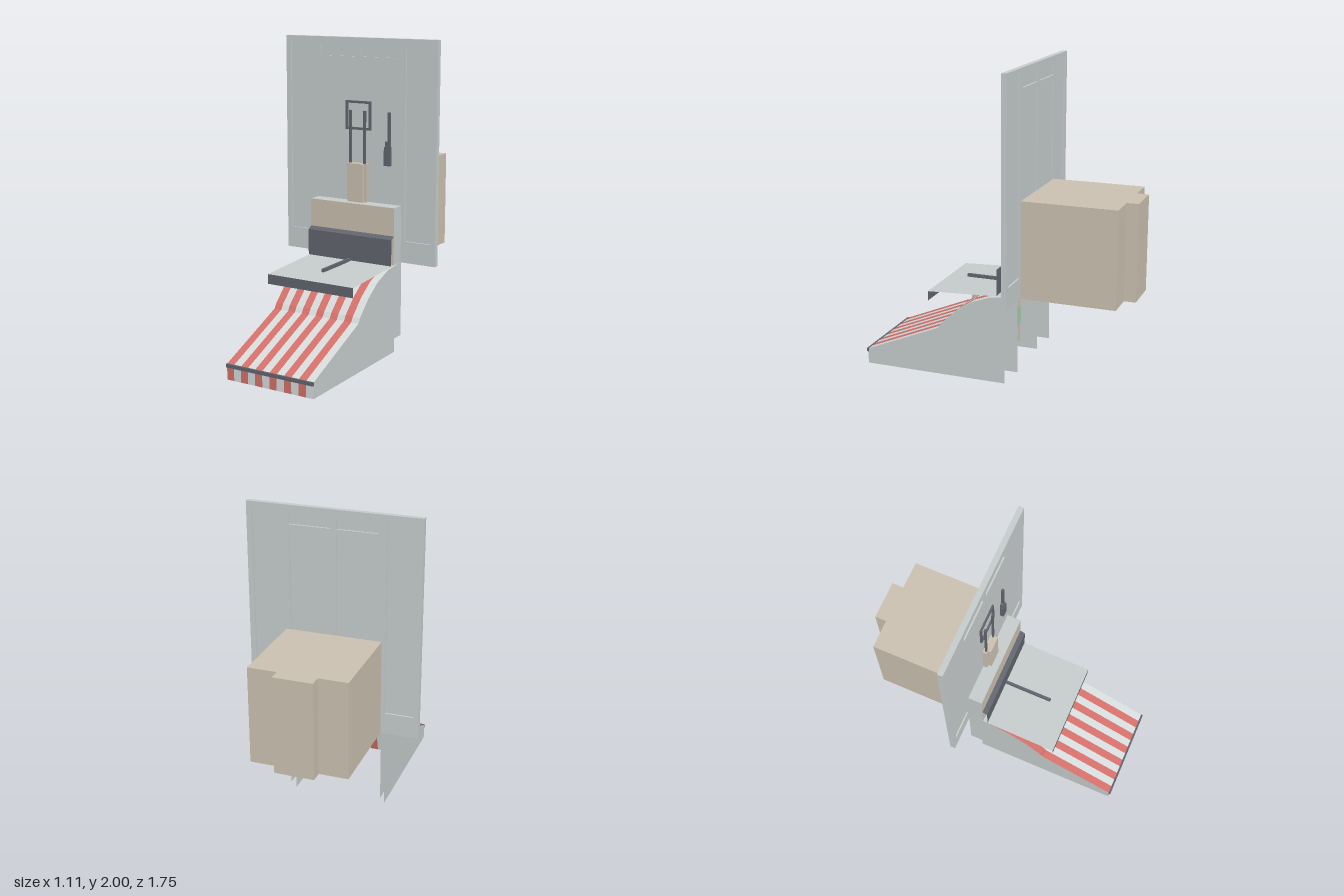
import * as THREE from 'three';

const mat = (name, color) => {
  const m = new THREE.MeshStandardMaterial({ color, side: THREE.DoubleSide });
  m.name = name;
  return m;
};

export function createModel() {
  const grey = mat('paleGrey', 0xc6cccc);
  const dark = mat('slate', 0x62656e);
  const beige = mat('beige', 0xcbc1b0);
  const red = mat('red', 0xd5706a);
  const white = mat('stripeWhite', 0xd6dcdb);
  const green = mat('green', 0x82cc9a);
  const model = new THREE.Group();

  const add = (name, geometry, material, parent = model) => {
    const mesh = new THREE.Mesh(geometry, material);
    mesh.name = name;
    parent.add(mesh);
    return mesh;
  };
  // Box given by its minimum and maximum on each axis
  const box = (name, m, x0, x1, y0, y1, z0, z1, parent) => {
    const g = new THREE.BoxGeometry(x1 - x0, y1 - y0, z1 - z0);
    g.translate((x0 + x1) / 2, (y0 + y1) / 2, (z0 + z1) / 2);
    return add(name, g, m, parent);
  };
  // Open sheet: a profile of [z, y] points swept from x0 to x1
  const sheet = (name, m, profile, x0, x1, parent) => {
    const v = [];
    for (let i = 0; i + 1 < profile.length; i++) {
      const [pz, py] = profile[i], [qz, qy] = profile[i + 1];
      v.push(x0, py, pz, x0, qy, qz, x1, qy, qz, x0, py, pz, x1, qy, qz, x1, py, pz);
    }
    const g = new THREE.BufferGeometry();
    g.setAttribute('position', new THREE.Float32BufferAttribute(v, 3));
    g.computeVertexNormals();
    return add(name, g, m, parent);
  };
  const outline = (points) => new THREE.Shape(points.map(([a, b]) => new THREE.Vector2(a, b)));
  const rect = (x0, x1, y0, y1) => [[x0, y0], [x1, y0], [x1, y1], [x0, y1]];
  // Flat plate with rectangular openings
  const frame = (name, m, outer, holes, z0, depth, parent) => {
    const s = outline(rect(...outer));
    for (const h of holes) s.holes.push(new THREE.Path(outline(rect(...h)).getPoints()));
    const g = new THREE.ExtrudeGeometry(s, { depth, bevelEnabled: false });
    g.translate(0, 0, z0);
    return add(name, g, m, parent);
  };

  // Back board with recessed panels on both faces
  const board = new THREE.Group();
  board.name = 'backBoard';
  model.add(board);
  const size = [-0.555, 0.555, 0.58, 2];
  const recesses = [
    [-0.52, -0.335, 0.72, 1.97], [0.335, 0.52, 0.72, 1.97],
    [-0.285, -0.02, 1.88, 1.95], [0.015, 0.28, 1.88, 1.95],
  ];
  box('boardCore', grey, ...size, -0.19, -0.178, board);
  frame('boardFrontFrame', grey, size, recesses, -0.178, 0.01, board);
  frame('boardBackFrame', grey, size, [
    ...recesses, [-0.285, -0.02, 0.72, 1.85], [0.015, 0.28, 0.72, 1.85],
  ], -0.202, 0.012, board);

  // Rear housing with a central projection
  box('rearHousing', beige, -0.31, 0.31, 0.58, 1.2, -0.805, -0.2);
  box('rearProjection', beige, -0.125, 0.125, 0.58, 1.2, -0.88, -0.805);

  // Front cabinet: grey shell, beige face
  const cabinet = box('cabinet', grey, -0.31, 0.31, 0.58, 0.95, -0.168, -0.075);
  cabinet.material = [grey, grey, grey, beige, beige, grey];

  // Dark hood across the cabinet and the shelf below it
  sheet('hood', dark, [[-0.078, 0.77], [-0.043, 0.75], [-0.043, 0.58]], -0.31, 0.31);
  sheet('shelf', grey, [[-0.17, 0.583], [0.425, 0.553]], -0.31, 0.31);
  sheet('shelfLip', dark, [[0.425, 0.553], [0.425, 0.49]], -0.31, 0.31);
  box('leverRod', dark, -0.009, 0.009, 0.574, 0.594, -0.11, 0.278);

  // Column with two prongs and a rectangular ring
  box('columnBack', beige, -0.075, 0.07, 0.95, 1.2, -0.168, -0.142);
  box('columnFront', beige, -0.055, 0.053, 0.95, 1.2, -0.142, -0.12);
  for (const x of [-0.055, 0.05]) {
    box('prong', dark, x - 0.009, x + 0.009, 1.2, 1.54, -0.156, -0.146);
  }
  frame('ring', dark, [-0.095, 0.09, 1.415, 1.6], [[-0.08, 0.075, 1.43, 1.585]], -0.168, 0.012);

  // Side handle
  box('handleGrip', dark, 0.195, 0.238, 1.2, 1.32, -0.168, -0.143);
  box('handleCollar', dark, 0.2, 0.232, 1.32, 1.355, -0.168, -0.147);
  box('handleStem', dark, 0.216, 0.232, 1.355, 1.54, -0.168, -0.152);

  // Side walls of the ramp
  const slope = [[-0.18, 0.58], [-0.1, 0.575], [0, 0.563], [0.13, 0.515], [0.24, 0.44], [0.34, 0.345], [0.36, 0.313]];
  const wall = outline([
    ...slope, [0.865, 0.1], [0.865, 0], [-0.095, 0], [-0.095, 0.09], [-0.18, 0.09],
  ]);
  for (const x of [-0.308, 0.308]) {
    const g = new THREE.ShapeGeometry(wall);
    g.rotateY(-Math.PI / 2); // shape x becomes z
    add('rampWall', g, grey).position.x = x;
  }

  // Striped ramp, inner hanging flap and front edge
  const ramp = new THREE.Group();
  ramp.name = 'stripedRamp';
  model.add(ramp);
  const w = 0.616 / 12;
  for (let i = 0; i < 12; i++) {
    const x = -0.308 + i * w, m = i % 2 ? white : red;
    sheet('rampStripe', m, [...slope, [0.865, 0.1], [0.865, 0]], x, x + w, ramp);
    sheet('flapStripe', m, [[0.36, 0.313], [0.41, 0.1]], x, x + w, ramp);
  }
  box('frontBar', dark, -0.31, 0.31, 0.08, 0.102, 0.862, 0.875);

  // Plate under the shelf with a green cross on both sides
  box('innerPlate', beige, -0.016, 0.012, 0.17, 0.54, -0.08, 0.245);
  for (const x of [-0.019, 0.012]) {
    box('crossUpright', green, x, x + 0.003, 0.17, 0.45, 0.02, 0.15);
    box('crossArm', green, x, x + 0.003, 0.29, 0.41, -0.08, 0.245);
  }
  return model;
}
